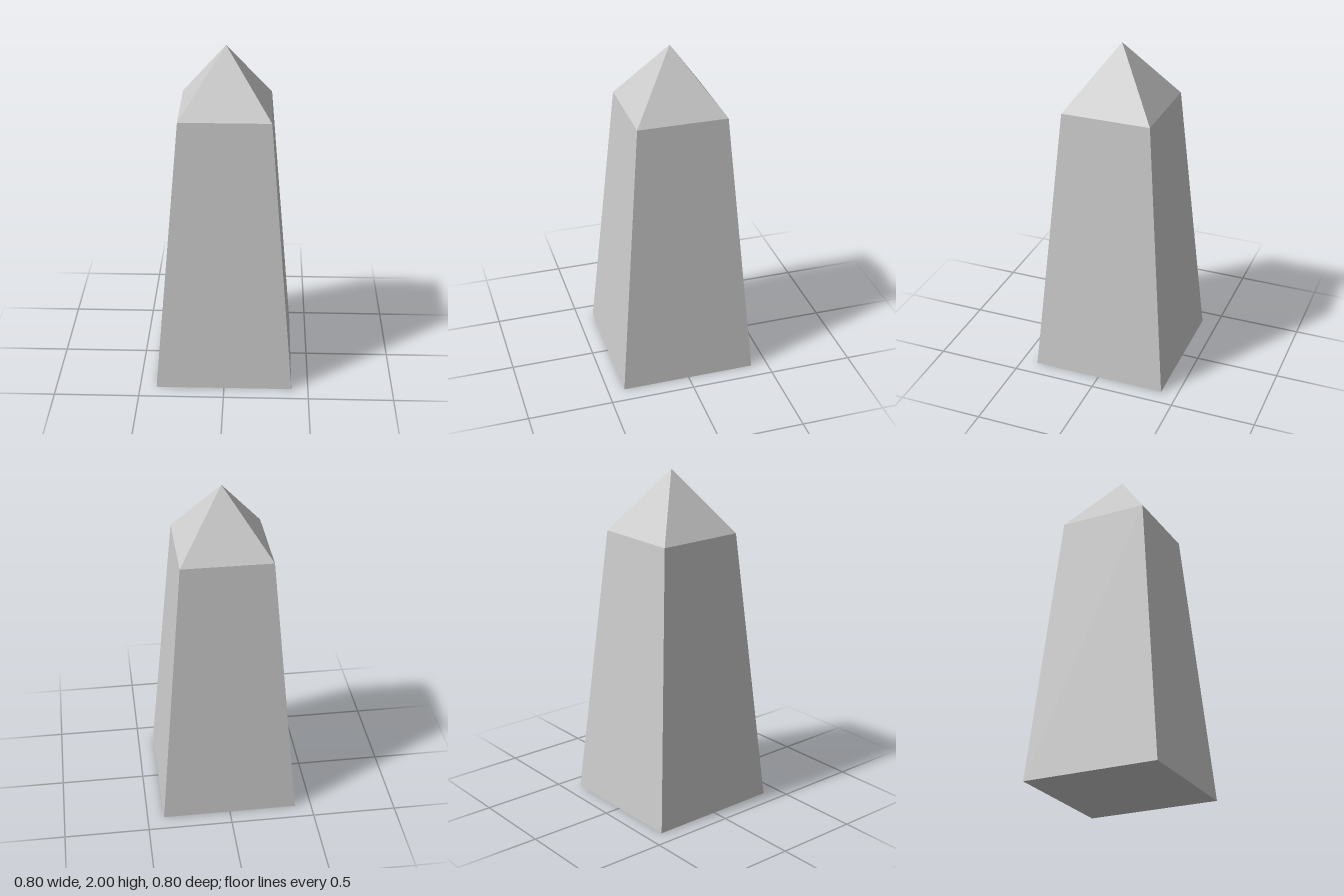
import * as THREE from 'three';

const BASE_HALF = 0.402;      // half width at the ground
const SHOULDER_HALF = 0.262;  // half width where the cap begins
const SHOULDER_Y = 1.635;
const HEIGHT = 2;

const material = new THREE.MeshStandardMaterial({ color: 0xcccccc, flatShading: true });

// Open four-sided frustum with its faces square to x and z
function squareFrustum(name, topHalf, bottomHalf, y0, y1) {
  const geometry = new THREE.CylinderGeometry(
    topHalf * Math.SQRT2, bottomHalf * Math.SQRT2, y1 - y0, 4, 1, true, Math.PI / 4);
  geometry.translate(0, (y0 + y1) / 2, 0);
  const mesh = new THREE.Mesh(geometry, material);
  mesh.name = name;
  return mesh;
}

export function createModel() {
  const group = new THREE.Group();
  group.name = 'obelisk';

  // Tapering shaft and pointed cap
  group.add(squareFrustum('shaft', SHOULDER_HALF, BASE_HALF, 0, SHOULDER_Y));
  group.add(squareFrustum('pyramidCap', 0, SHOULDER_HALF, SHOULDER_Y, HEIGHT));

  // Underside, facing down
  const underside = new THREE.Mesh(
    new THREE.PlaneGeometry(BASE_HALF * 2, BASE_HALF * 2).rotateX(Math.PI / 2), material);
  underside.name = 'underside';
  group.add(underside);

  return group;
}
